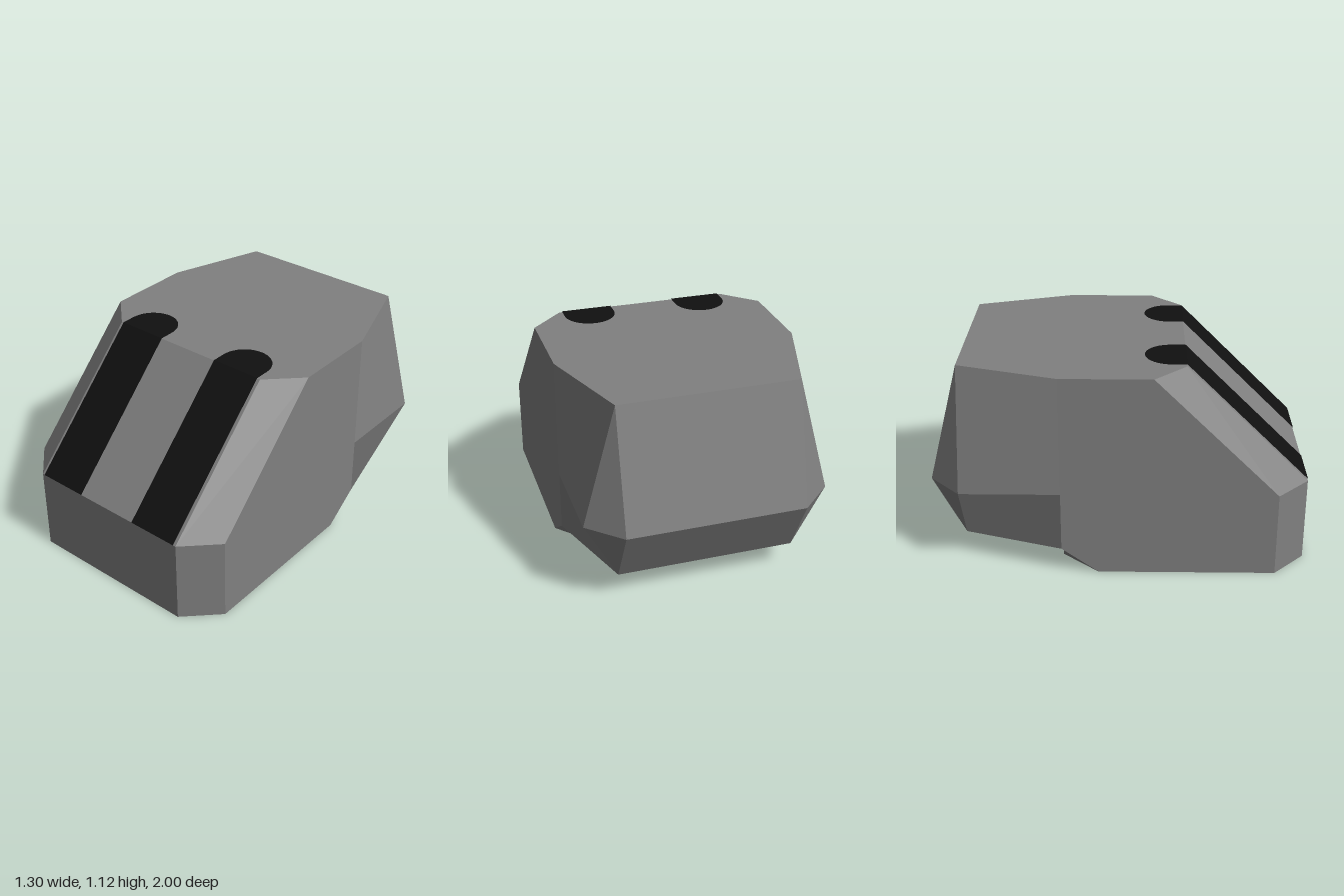
import * as THREE from 'three';

const W = 0.65, w = 0.475;             // full half width, half width inside the bevels
const TOP = 1.115, MID = 0.465, STEP = 0.14, SEAM = -0.305;

const flip = ([x, y, z]) => [-x, y, z];
const mirrored = (face) => face.map(flip).reverse();
// closes a right-hand outline across the centre line
const across = (...pts) => [...pts, ...mirrored(pts)];

// Fans each polygon into triangles that share one averaged face normal
function facetGeometry(faces) {
  const position = [], normal = [];
  for (const face of faces) {
    const v = face.map((p) => new THREE.Vector3(...p));
    const n = new THREE.Vector3();
    for (let i = 1; i < v.length - 1; i++) {
      n.add(v[i].clone().sub(v[0]).cross(v[i + 1].clone().sub(v[0])));
    }
    n.normalize();
    for (let i = 1; i < v.length - 1; i++) {
      for (const p of [v[0], v[i], v[i + 1]]) {
        position.push(p.x, p.y, p.z);
        normal.push(n.x, n.y, n.z);
      }
    }
  }
  const g = new THREE.BufferGeometry();
  g.setAttribute('position', new THREE.Float32BufferAttribute(position, 3));
  g.setAttribute('normal', new THREE.Float32BufferAttribute(normal, 3));
  return g;
}

function bodyGeometry() {
  // front bevel and slope corners
  const noseLow = [w, 0, 1], noseHigh = [w, MID, 1];
  const cheekLow = [W, 0, 0.83], cheekHigh = [W, MID, 0.83];
  const browIn = [w, TOP, 0.345], browOut = [W, TOP, 0.175];
  // seam where the rear taper begins
  const seamTop = [W, TOP, SEAM], seamMid = [W, MID, SEAM], seamLow = [W, STEP, SEAM];
  // tapered rear
  const rearTop = [w, TOP, -0.835], rearSide = [W, MID, -0.835];
  const rearTip = [w, MID, -1], rearLow = [w, STEP, -0.83];
  // step under the rear
  const heelOut = [W, 0, -0.11], heelIn = [w, 0, SEAM], heelTop = [w, STEP, SEAM];

  const side = [
    [cheekLow, heelOut, seamLow, seamMid, seamTop, browOut, cheekHigh],
    [noseLow, cheekLow, cheekHigh, noseHigh],
    [noseHigh, cheekHigh, browOut, browIn],
    [rearSide, rearTop, seamTop, seamMid],
    [rearSide, seamMid, seamLow, rearLow],
    [rearSide, rearTip, rearTop],
    [rearSide, rearLow, rearTip],
    [heelIn, heelTop, seamLow, heelOut],
  ];
  const middle = [
    across(noseLow, noseHigh),
    across(noseHigh, browIn),
    across(browIn, browOut, seamTop, rearTop),
    across(rearTop, rearTip),
    across(rearTip, rearLow),
    across(rearLow, seamLow),
    across(heelTop, heelIn),
    across(heelIn, heelOut, cheekLow, noseLow),
  ];
  return facetGeometry([...side, ...side.map(mirrored), ...middle]);
}

// Stripe running up the slope and ending in a half circle on the top
function stripeGeometry(cx) {
  const r = 0.14, y = TOP + 0.004, fold = 0.347, arcZ = 0.27;
  const slope = [
    [cx - r, MID + 0.003, 1.003], [cx + r, MID + 0.003, 1.003],
    [cx + r, y, fold], [cx - r, y, fold],
  ];
  const cap = [[cx - r, y, fold], [cx + r, y, fold]];
  for (let i = 0; i <= 20; i++) {
    const a = (i / 20) * Math.PI;
    cap.push([cx + r * Math.cos(a), y, arcZ - r * Math.sin(a)]);
  }
  return facetGeometry([slope, cap]);
}

export function createModel() {
  const grey = new THREE.MeshStandardMaterial({ color: 0x808080 });
  grey.name = 'bodyGrey';
  const black = new THREE.MeshStandardMaterial({ color: 0x101010 });
  black.name = 'stripeBlack';

  const model = new THREE.Group();
  model.name = 'bevelledBlock';
  const add = (name, geometry, material) => {
    const mesh = new THREE.Mesh(geometry, material);
    mesh.name = name;
    model.add(mesh);
  };
  add('body', bodyGeometry(), grey);
  add('leftStripe', stripeGeometry(0.32), black);
  add('rightStripe', stripeGeometry(-0.32), black);
  return model;
}
